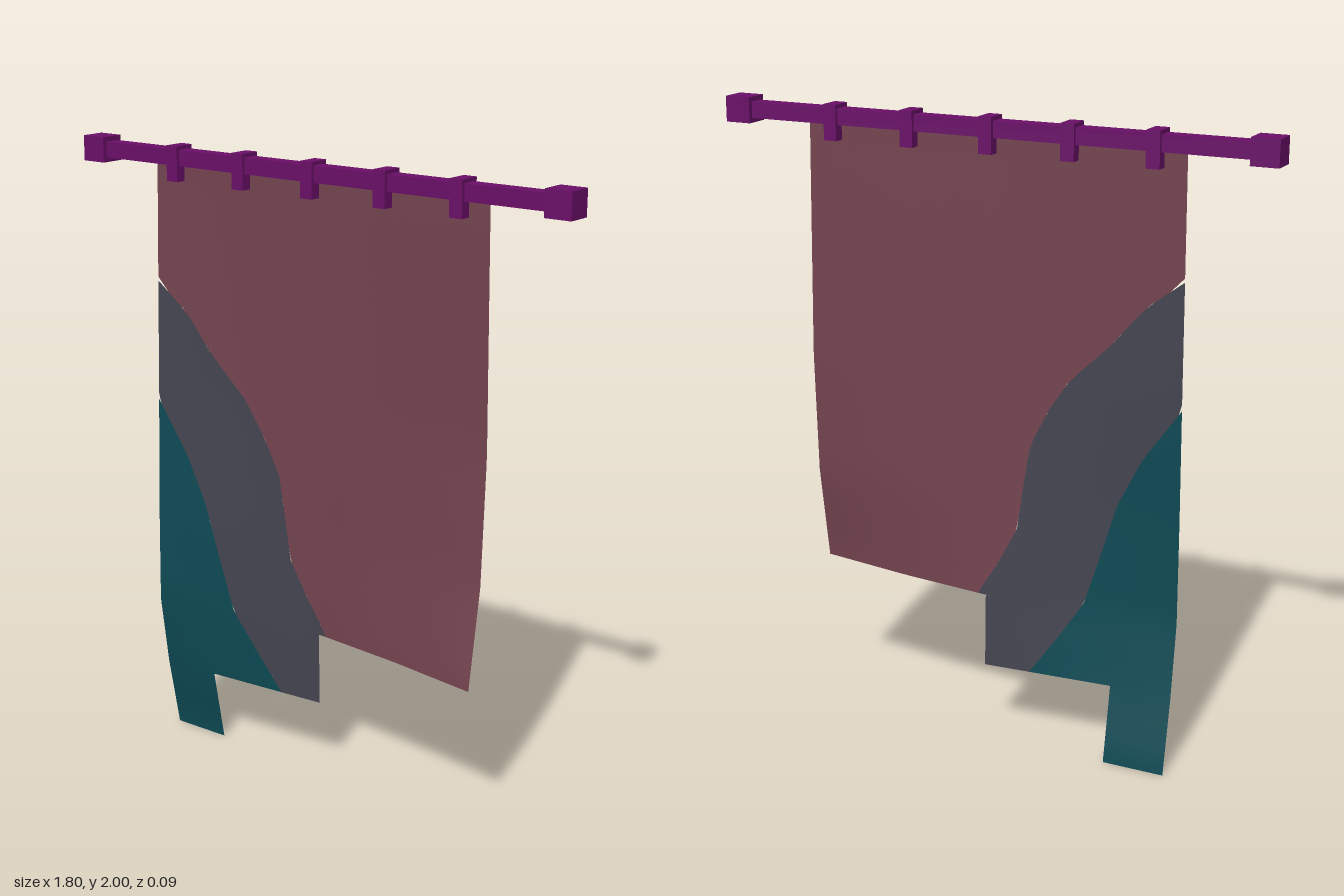
import * as THREE from 'three';

const mat = (name, color, side = THREE.FrontSide) => {
  const m = new THREE.MeshStandardMaterial({ color, side });
  m.name = name;
  return m;
};

// Piecewise-linear lookup of v at position p along ascending stops
function lerpAt(stops, values, p) {
  let i = 0;
  while (i < stops.length - 2 && p > stops[i + 1]) i++;
  const t = THREE.MathUtils.clamp((p - stops[i]) / (stops[i + 1] - stops[i]), 0, 1);
  return values[i] + (values[i + 1] - values[i]) * t;
}

// Billow of the cloth: depth at a few heights for each column
const columns = [-0.62, -0.42, 0, 0.31, 0.62];
const heights = [0, 0.24, 0.48, 0.8, 1.2, 1.93];
const depths = [
  [-0.042, 0.005, 0.038, 0.033, 0.02, 0],
  [-0.045, 0, 0.025, 0.025, 0.012, 0],
  [-0.03, -0.035, -0.03, -0.022, -0.012, 0],
  [0, 0, 0, -0.02, -0.018, 0],
  [0.045, 0.045, 0.045, -0.005, -0.02, 0],
];
const billow = (x, y) => lerpAt(columns, depths.map((d) => lerpAt(heights, d, y)), x);

// Curved borders between the colours: x as a function of y
const tealEdge = (y) => lerpAt([0.245, 0.36, 0.5, 0.7, 0.84, 1.0, 1.17],
  [-0.15, -0.23, -0.32, -0.38, -0.42, -0.5, -0.62], y);
const greyEdge = (y) => lerpAt([0.485, 0.6, 0.72, 0.87, 1.0, 1.12, 1.22, 1.35, 1.47, 1.56],
  [0.03, -0.04, -0.1, -0.12, -0.14, -0.2, -0.265, -0.4, -0.5, -0.62], y);

// Sheet of cloth between two side borders
function clothPanel(name, material, y0, y1, left, right) {
  const nx = 14, ny = 32, e = 0.08;
  const geo = new THREE.PlaneGeometry(1, 1, nx, ny);
  const { position: pos, normal, uv } = geo.attributes;
  const n = new THREE.Vector3();
  for (let i = 0; i < pos.count; i++) {
    const y = y0 + (y1 - y0) * uv.getY(i);
    const x = THREE.MathUtils.lerp(left(y), right(y), uv.getX(i));
    pos.setXYZ(i, x, y, billow(x, y));
    n.set((billow(x - e, y) - billow(x + e, y)) / (2 * e),
      (billow(x, y - e) - billow(x, y + e)) / (2 * e), 1).normalize();
    normal.setXYZ(i, n.x, n.y, n.z);
  }
  const mesh = new THREE.Mesh(geo, material);
  mesh.name = name;
  return mesh;
}

export function createModel() {
  const group = new THREE.Group();
  group.name = 'hangingBanner';
  const purple = mat('purple', 0x6a0f68);
  const maroon = mat('maroon', 0x744450, THREE.DoubleSide);
  const grey = mat('slateGrey', 0x454551, THREE.DoubleSide);
  const teal = mat('teal', 0x0e4a54, THREE.DoubleSide);

  const box = (name, w, h, d, x, y) => {
    const m = new THREE.Mesh(new THREE.BoxGeometry(w, h, d), purple);
    m.name = name;
    m.position.set(x, y, 0);
    group.add(m);
  };

  // Pole with end blocks and hanging loops
  box('pole', 1.66, 0.05, 0.05, 0, 1.96);
  for (const s of [-1, 1]) box('poleEnd', 0.085, 0.08, 0.08, s * 0.8575, 1.96);
  for (let i = -2; i <= 2; i++) box('loop', 0.043, 0.11, 0.07, i * 0.264, 1.942);

  // Cloth with a stepped lower hem
  const at = (x) => () => x;
  group.add(
    clothPanel('mainCloth', maroon, 0.485, 1.935, greyEdge, at(0.62)),
    clothPanel('greyBand', grey, 0.485, 1.56, tealEdge, greyEdge),
    clothPanel('greyHem', grey, 0.245, 0.485, tealEdge, at(0)),
    clothPanel('tealCorner', teal, 0.245, 1.17, at(-0.62), tealEdge),
    clothPanel('tealTail', teal, 0, 0.245, at(-0.62), at(-0.42)),
  );
  return group;
}
